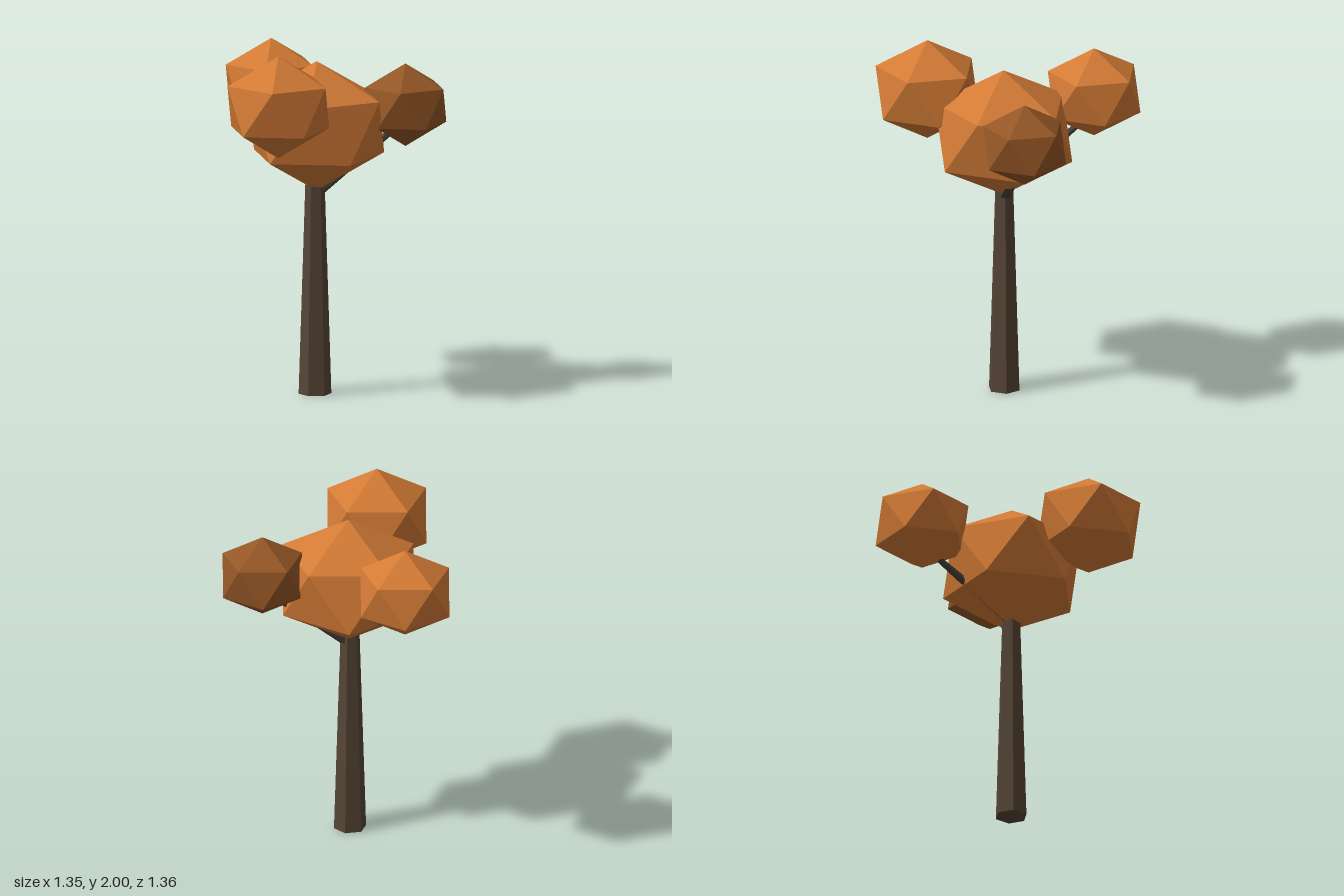
import * as THREE from 'three';
import { ConvexGeometry } from 'three/addons/geometries/ConvexGeometry.js';

const makeMaterial = (color) => new THREE.MeshStandardMaterial({ color, flatShading: true });

// Twenty-sided leaf clump with a vertex at top and bottom.
// ring: radius of the two five-point rings; height: centre to top vertex.
function foliage(name, [x, y, z], ring, height, material) {
  const points = [new THREE.Vector3(0, height, 0), new THREE.Vector3(0, -height, 0)];
  for (let i = 0; i < 10; i++) {
    const a = (i * Math.PI) / 5;
    const side = i % 2 === 0 ? 1 : -1;
    points.push(new THREE.Vector3(ring * Math.cos(a), side * height * 0.447, ring * Math.sin(a)));
  }
  const mesh = new THREE.Mesh(new ConvexGeometry(points), material);
  mesh.name = name;
  mesh.position.set(x, y, z);
  return mesh;
}

// Tapered six-sided limb running from one point to another.
function limb(name, from, to, r0, r1, material) {
  const a = new THREE.Vector3(...from);
  const b = new THREE.Vector3(...to);
  const dir = b.clone().sub(a);
  const mesh = new THREE.Mesh(new THREE.CylinderGeometry(r1, r0, dir.length(), 6), material);
  mesh.name = name;
  mesh.position.copy(a).add(b).multiplyScalar(0.5);
  mesh.quaternion.setFromUnitVectors(new THREE.Vector3(0, 1, 0), dir.normalize());
  return mesh;
}

export function createModel() {
  const group = new THREE.Group();
  group.name = 'tree';
  const bark = makeMaterial(0x564536);
  const branchBark = makeMaterial(0x4a4139);
  const leaves = makeMaterial(0xd27a35);
  const darkLeaves = makeMaterial(0x945626);

  // Trunk and the two branches that carry the rear clumps
  group.add(
    limb('trunk', [0.02, 0, -0.07], [0.02, 1.24, -0.07], 0.092, 0.053, bark),
    limb('leftBranch', [0.04, 1.16, -0.085], [0.41, 1.51, -0.345], 0.034, 0.016, branchBark),
    limb('rightBranch', [0.02, 1.2, -0.07], [-0.37, 1.51, -0.39], 0.034, 0.016, branchBark)
  );

  // Crown
  group.add(
    foliage('mainFoliage', [0.03, 1.524, -0.07], 0.385, 0.368, leaves),
    foliage('frontFoliage', [0.01, 1.71, 0.4], 0.29, 0.29, leaves),
    foliage('rightFoliage', [-0.415, 1.667, -0.433], 0.26, 0.258, leaves),
    foliage('leftFoliage', [0.44, 1.625, -0.367], 0.233, 0.235, darkLeaves)
  );
  return group;
}
